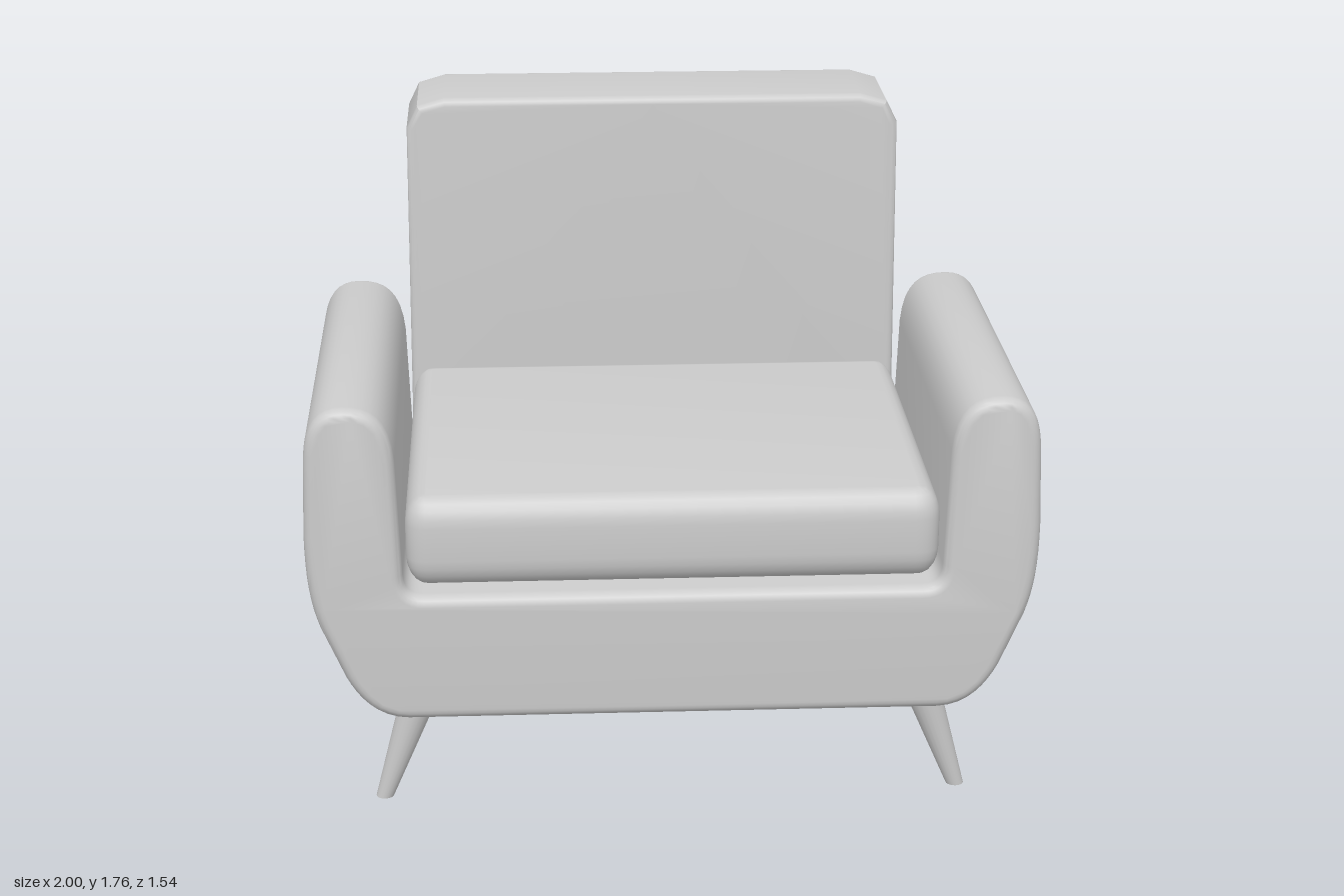
import * as THREE from 'three';
import { toCreasedNormals } from 'three/addons/utils/BufferGeometryUtils.js';

const material = new THREE.MeshStandardMaterial({ color: 0xcccccc });

function addMesh(parent, name, geometry) {
  const mesh = new THREE.Mesh(geometry, material);
  mesh.name = name;
  parent.add(mesh);
  return mesh;
}

// Closed symmetric outline from its right half, drawn from x = 0 back to x = 0
function mirrored(half) {
  const right = half.getPoints(8);
  const left = right.slice(1, -1).reverse().map((p) => new THREE.Vector2(-p.x, p.y));
  return new THREE.Shape([...right, ...left]);
}

// Soft-edged slab from z0 to z1 whose outline stays the full size of the shape
function slab(shape, z0, z1, bevel, bevelDepth = bevel) {
  const geometry = new THREE.ExtrudeGeometry(shape, {
    depth: z1 - z0 - 2 * bevelDepth,
    bevelThickness: bevelDepth,
    bevelSize: bevel,
    bevelOffset: -bevel,
    bevelSegments: 5,
    curveSegments: 8,
  });
  return geometry.translate(0, 0, z0 + bevelDepth);
}

// U-shaped shell: base and both arms in one outline
function bodyGeometry() {
  const half = new THREE.Path();
  half.moveTo(0, 0.303);
  half.lineTo(0.73, 0.303);
  half.bezierCurveTo(0.82, 0.305, 0.87, 0.37, 0.9, 0.43);
  half.lineTo(0.965, 0.58);
  half.bezierCurveTo(0.99, 0.65, 1, 0.72, 1, 0.85);
  half.lineTo(0.992, 1.08);
  half.bezierCurveTo(0.985, 1.17, 0.95, 1.212, 0.885, 1.212);
  half.bezierCurveTo(0.81, 1.212, 0.76, 1.18, 0.75, 1.06);
  half.lineTo(0.737, 0.73);
  half.bezierCurveTo(0.735, 0.69, 0.72, 0.67, 0.68, 0.67);
  half.lineTo(0, 0.67);
  return toCreasedNormals(slab(mirrored(half), -0.425, 0.765, 0.03, 0.035), 0.6);
}

// Backrest: narrows below the seat, and its rear face leans outward going up
function backGeometry() {
  const half = new THREE.Path();
  half.moveTo(0, 0.305);
  half.lineTo(0.6, 0.305);
  half.quadraticCurveTo(0.635, 0.305, 0.645, 0.35);
  half.lineTo(0.72, 0.64);
  half.quadraticCurveTo(0.737, 0.7, 0.737, 0.78);
  half.lineTo(0.732, 1.67);
  half.lineTo(0.7, 1.735);
  half.lineTo(0.62, 1.758);
  half.lineTo(0, 1.758);
  const geometry = slab(mirrored(half), -1, 0, 0.022, 0.07);
  const position = geometry.attributes.position;
  for (let i = 0; i < position.count; i++) {
    const depth = 0.34 - 0.09 * (1.7 - position.getY(i));
    position.setZ(i, -0.427 + position.getZ(i) * depth);
  }
  return toCreasedNormals(geometry, 0.5);
}

// Seat cushion: rounded plan extruded upward with a generous roll
function cushionGeometry() {
  const x = 0.728, z0 = -0.405, z1 = 0.758, r = 0.07;
  const plan = new THREE.Shape();
  plan.moveTo(x, -z1 + r);
  plan.lineTo(x, -z0 - r);
  plan.quadraticCurveTo(x, -z0, x - r, -z0);
  plan.lineTo(-x + r, -z0);
  plan.quadraticCurveTo(-x, -z0, -x, -z0 - r);
  plan.lineTo(-x, -z1 + r);
  plan.quadraticCurveTo(-x, -z1, -x + r, -z1);
  plan.lineTo(x - r, -z1);
  plan.quadraticCurveTo(x, -z1, x, -z1 + r);
  const geometry = slab(plan, 0.692, 0.945, 0.055, 0.08).rotateX(-Math.PI / 2);
  return toCreasedNormals(geometry, 0.7);
}

// Tapered leg sheared sideways so that its foot stays flat on the floor
function legGeometry(splay) {
  const height = 0.32;
  const geometry = new THREE.CylinderGeometry(0.055, 0.025, height, 20);
  geometry.translate(0, height / 2, 0);
  const shear = new THREE.Matrix4().set(
    1, -splay / height, 0, splay,
    0, 1, 0, 0,
    0, 0, 1, 0,
    0, 0, 0, 1,
  );
  return geometry.applyMatrix4(shear);
}

export function createModel() {
  const model = new THREE.Group();
  model.name = 'armchair';

  addMesh(model, 'bodyWithArms', bodyGeometry());
  addMesh(model, 'backrest', backGeometry());
  addMesh(model, 'seatCushion', cushionGeometry());

  // Front legs stand wider than the back legs
  const pairs = [
    { name: 'FrontLeg', x: 0.7, z: 0.605 },
    { name: 'BackLeg', x: 0.51, z: -0.505 },
  ];
  for (const { name, x, z } of pairs) {
    for (const side of [1, -1]) {
      const leg = addMesh(model, (side > 0 ? 'left' : 'right') + name, legGeometry(side * 0.11));
      leg.position.set(side * x, 0, z);
    }
  }
  return model;
}
